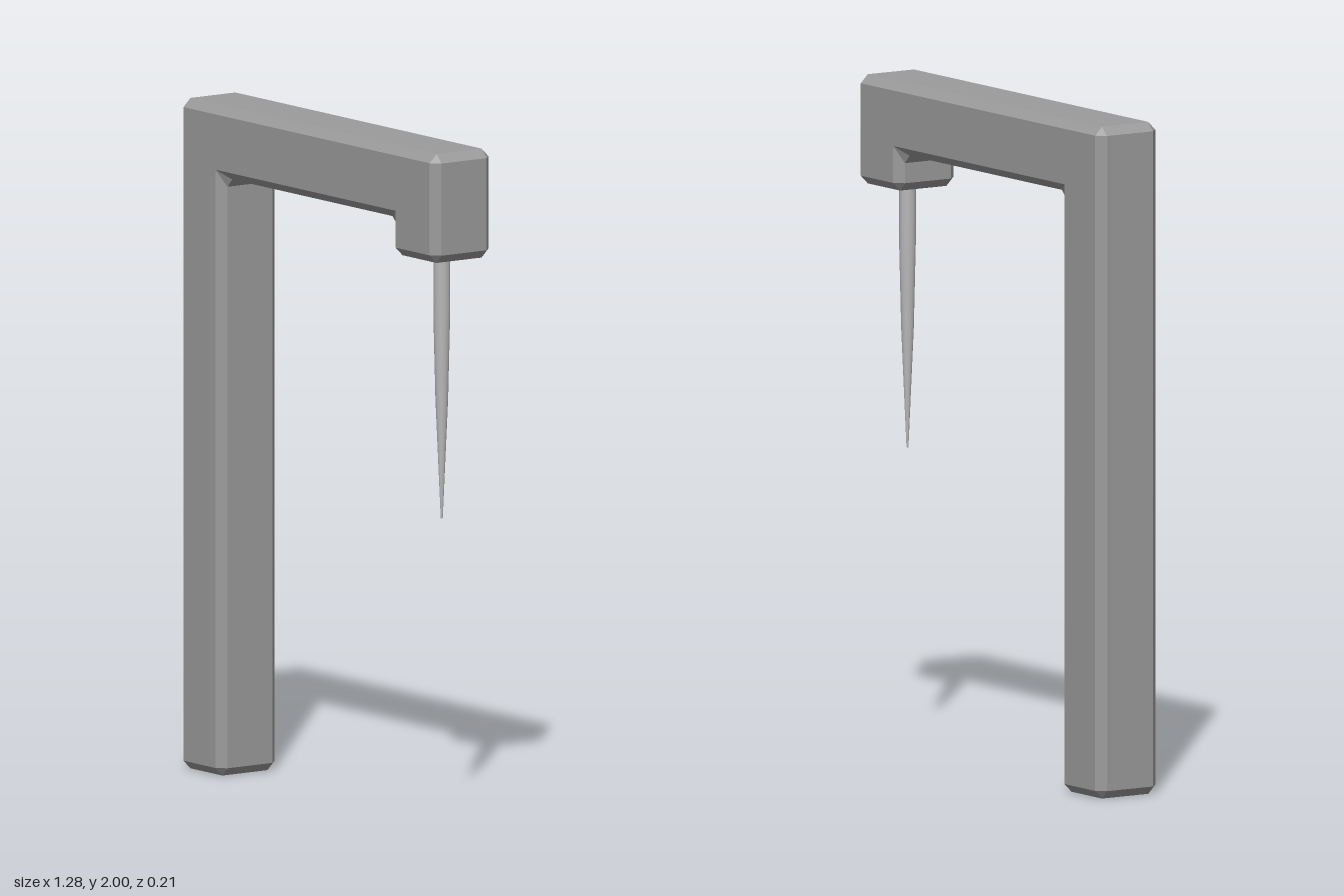
import * as THREE from 'three';

const BEVEL = 0.025;
const HALF_DEPTH = 0.107;

// Outline of the flat front face, counter-clockwise
const FACE = [
  [-0.615, 0.025], [-0.455, 0.025], [-0.455, 1.81], [0.445, 1.81],
  [0.445, 1.70], [0.615, 1.70], [0.615, 1.975], [-0.615, 1.975],
].map(([x, y]) => new THREE.Vector2(x, y));

// Outward normal of the edge leaving corner i
function edgeNormal(i) {
  const e = FACE[(i + 1) % FACE.length].clone().sub(FACE[i]).normalize();
  return new THREE.Vector2(e.y, -e.x);
}

function frameGeometry() {
  // Every sharp face corner opens into a two-point chamfer on the outer outline
  const sharp = [], chamfered = [];
  FACE.forEach((p, i) => {
    const n1 = edgeNormal((i + FACE.length - 1) % FACE.length), n2 = edgeNormal(i);
    const concave = n1.cross(n2) < 0;
    const [near, far] = concave ? [1, 2] : [1, 0];
    sharp.push(p, p);
    chamfered.push(
      p.clone().addScaledVector(n1, BEVEL * near).addScaledVector(n2, BEVEL * far),
      p.clone().addScaledVector(n1, BEVEL * far).addScaledVector(n2, BEVEL * near));
  });

  // Cross-sections from front to back
  const inner = HALF_DEPTH - BEVEL;
  const rings = [[sharp, HALF_DEPTH], [chamfered, inner], [chamfered, -inner], [sharp, -HALF_DEPTH]];
  const count = sharp.length;
  const positions = [], index = [];
  for (const [ring, z] of rings) for (const p of ring) positions.push(p.x, p.y, z);

  for (let k = 0; k < 3; k++) {
    for (let j = 0; j < count; j++) {
      const a = k * count + j, b = k * count + (j + 1) % count;
      const c = a + count, d = b + count;
      // Even j are corners, which close to a triangle at the sharp rings
      const corner = j % 2 === 0;
      if (corner && k === 0) index.push(a, c, d);
      else if (corner && k === 2) index.push(a, c, b);
      else index.push(a, c, d, a, d, b);
    }
  }

  // Flat front and back faces
  for (const [a, b, c] of THREE.ShapeUtils.triangulateShape(FACE.slice(), [])) {
    index.push(2 * a, 2 * b, 2 * c);
    index.push(3 * count + 2 * a, 3 * count + 2 * c, 3 * count + 2 * b);
  }

  const indexed = new THREE.BufferGeometry();
  indexed.setAttribute('position', new THREE.Float32BufferAttribute(positions, 3));
  indexed.setIndex(index);
  const geometry = indexed.toNonIndexed();
  geometry.computeVertexNormals();
  return geometry;
}

export function createModel() {
  const group = new THREE.Group();

  // Post, beam and drop end in one bevelled piece
  const frame = new THREE.Mesh(
    frameGeometry(),
    new THREE.MeshStandardMaterial({ color: 0x9b9b9b, flatShading: true }));
  frame.name = 'frame';
  group.add(frame);

  // Smooth tapered spike hanging from the drop end, a lighter grey
  const profile = [[0, 0.893], [0.003, 0.893], [0.019, 1.25], [0.025, 1.5], [0.025, 1.69]]
    .map(([r, y]) => new THREE.Vector2(r, y));
  const spike = new THREE.Mesh(
    new THREE.LatheGeometry(profile, 16),
    new THREE.MeshStandardMaterial({ color: 0xb8b8b8 }));
  spike.name = 'spike';
  spike.position.x = 0.528;
  group.add(spike);

  return group;
}
